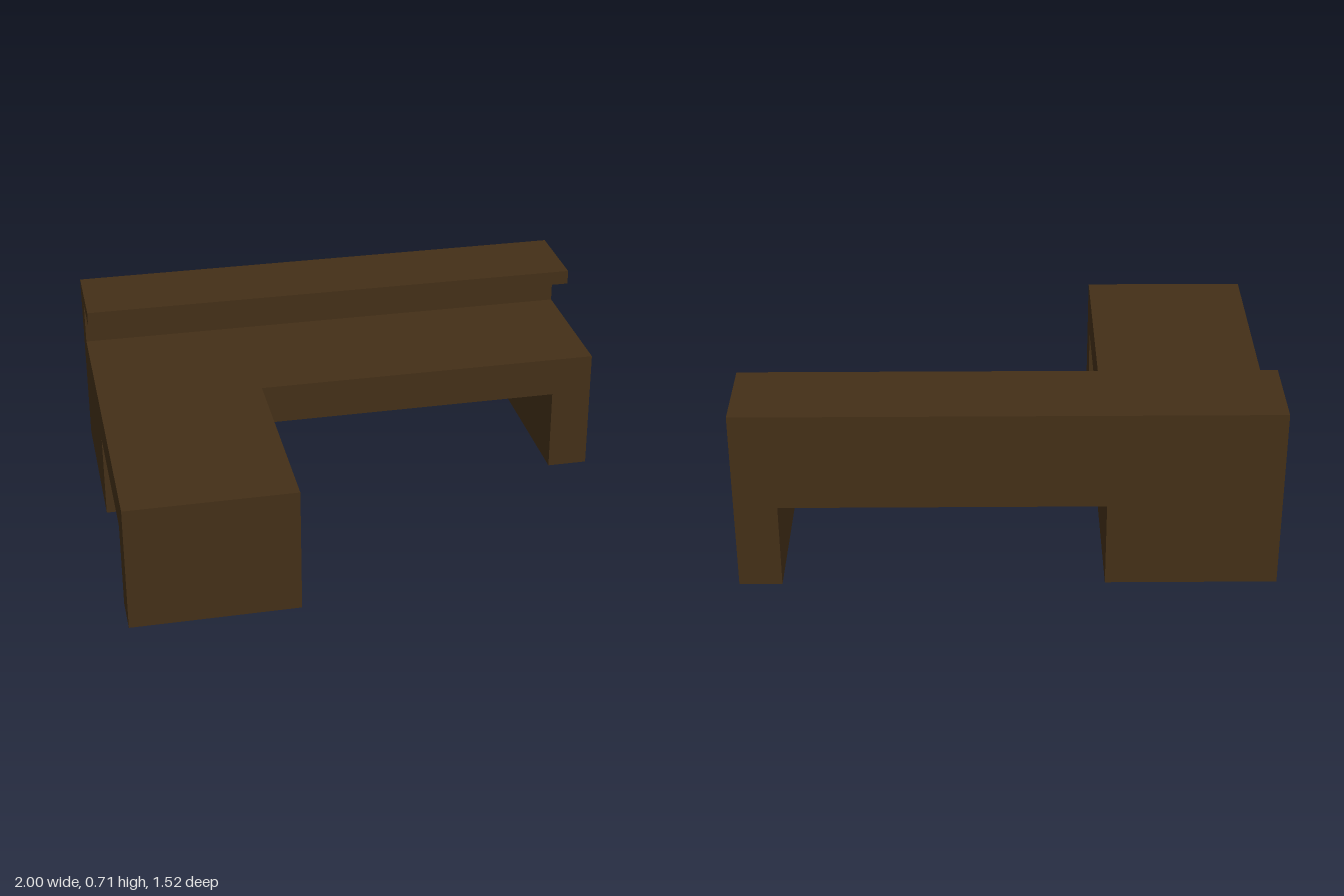
import * as THREE from 'three';

export function createModel() {
  const group = new THREE.Group();
  group.name = 'cornerDesk';
  const wood = new THREE.MeshStandardMaterial({ color: 0x432f17, flatShading: true });

  const add = (name, geometry) => {
    const mesh = new THREE.Mesh(geometry, wood);
    mesh.name = name;
    group.add(mesh);
    return mesh;
  };
  const box = (name, [x0, x1], [y0, y1], [z0, z1]) =>
    add(name, new THREE.BoxGeometry(x1 - x0, y1 - y0, z1 - z0))
      .position.set((x0 + x1) / 2, (y0 + y1) / 2, (z0 + z1) / 2);
  const extrude = (points, depth) => new THREE.ExtrudeGeometry(
    new THREE.Shape(points.map(([x, y]) => new THREE.Vector2(x, y))),
    { depth, bevelEnabled: false });

  const under = 0.335, top = 0.492, back = -0.76, inner = -0.067, wing = -0.36;

  // L-shaped worktop, outlined in plan (x, -z) and raised upwards
  const slab = extrude([
    [-1, -0.76], [wing, -0.76], [wing, -inner], [1, -inner], [1, -back], [-1, -back],
  ], top - under);
  slab.rotateX(-Math.PI / 2).translate(0, under, 0);
  add('worktop', slab);

  // Supports
  box('cornerCabinet', [-1, wing], [0, under], [back, inner]);
  box('frontLeg', [-1, wing], [0, under], [0.597, 0.76]);
  box('sideLeg', [0.84, 1], [0, under], [back, inner]);

  // Back panel with overhanging shelf, profile in (-z, y) swept along x
  const riser = extrude([
    [0.76, top], [0.76, 0.715], [0.425, 0.715], [0.425, 0.658], [0.63, 0.658], [0.63, top],
  ].reverse(), 2);
  riser.rotateY(Math.PI / 2).translate(-1, 0, 0);
  add('backShelf', riser);

  return group;
}
